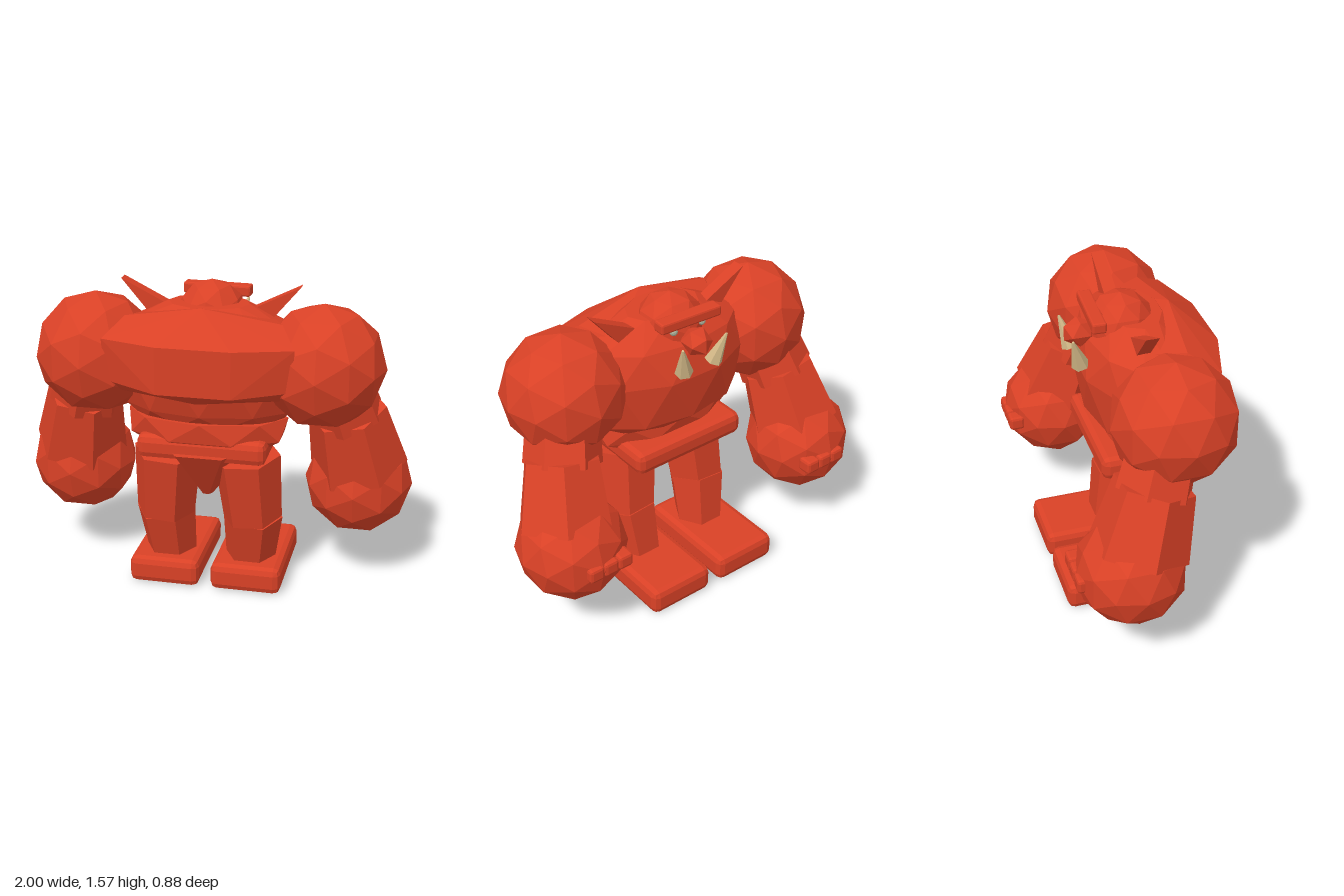
import * as THREE from 'three';
import { RoundedBoxGeometry } from 'three/addons/geometries/RoundedBoxGeometry.js';
import { ConvexGeometry } from 'three/addons/geometries/ConvexGeometry.js';

const V = (x, y, z) => new THREE.Vector3(x, y, z);

export function createModel() {
  const model = new THREE.Group();
  const mat = (name, color) => {
    const m = new THREE.MeshStandardMaterial({ color, flatShading: true });
    m.name = name;
    return m;
  };
  const red = mat('red hide', 0xd94126);
  const ivory = mat('ivory', 0xd2b887);
  const eyeGrey = mat('eye grey', 0xabaf98);

  const add = (name, geometry, material = red, pos = null) => {
    const mesh = new THREE.Mesh(geometry, material);
    mesh.name = name;
    if (pos) mesh.position.copy(pos);
    model.add(mesh);
    return mesh;
  };
  const ball = (name, r, pos, detail = 1, material = red) =>
    add(name, new THREE.IcosahedronGeometry(r, detail), material, pos);
  const block = (name, w, h, d, bevel, pos) =>
    add(name, new RoundedBoxGeometry(w, h, d, 1, bevel), red, pos);

  // Tapered prism running from point a (radius ra) to point b (radius rb)
  const limb = (name, a, b, ra, rb, sides = 6, material = red, spin = 0) => {
    const dir = a.clone().sub(b);
    const g = new THREE.CylinderGeometry(ra, rb, dir.length(), sides);
    g.rotateY(spin);
    const mesh = add(name, g, material, a.clone().add(b).multiplyScalar(0.5));
    mesh.quaternion.setFromUnitVectors(V(0, 1, 0), dir.normalize());
    return mesh;
  };

  // Convex body from elliptical rings: [y, half width, min z, max z]
  const ringBody = (name, rings, sides) => {
    const pts = [];
    rings.forEach(([y, rx, z0, z1], k) => {
      for (let i = 0; i < sides; i++) {
        const t = ((i + (k % 2) / 2) / sides) * Math.PI * 2;
        pts.push(V(rx * Math.cos(t), y, (z0 + z1) / 2 + ((z1 - z0) / 2) * Math.sin(t)));
      }
    });
    return add(name, new ConvexGeometry(pts));
  };

  // Torso
  ringBody('chest', [
    [0.89, 0.36, -0.1, 0.25], [0.96, 0.43, -0.18, 0.3], [1.2, 0.47, -0.22, 0.37],
    [1.36, 0.43, -0.17, 0.3], [1.47, 0.2, -0.07, 0.2],
  ], 10);
  ringBody('waist', [
    [0.74, 0.28, -0.06, 0.23], [0.82, 0.4, -0.1, 0.3], [0.92, 0.4, -0.11, 0.3],
  ], 8);

  // Heavy hump across the shoulders
  const hump = [V(0, 1.485, 0.245), V(0, 1.05, 0.36)];
  for (const s of [-1, 1]) {
    hump.push(
      V(s * 0.46, 1.34, 0.35), V(s * 0.45, 1.13, 0.33), V(s * 0.18, 1.11, 0.435),
      V(s * 0.18, 1.34, 0.435), V(s * 0.38, 1.42, 0.21), V(s * 0.4, 1.07, 0.28),
      V(s * 0.42, 1.2, 0.05), V(s * 0.3, 1.4, 0.02));
  }
  add('backHump', new ConvexGeometry(hump));

  // Belt and pelvis
  block('belt', 0.64, 0.12, 0.46, 0.035, V(0, 0.78, 0.055));
  limb('pelvis', V(0, 0.76, 0.12), V(0, 0.5, 0.12), 0.23, 0.03, 6, red, Math.PI / 6);

  // Head
  ball('head', 0.168, V(0, 1.4, 0.005));
  ball('snout', 0.085, V(0, 1.39, -0.2), 0).scale.set(0.85, 0.85, 1);
  const brow = block('brow', 0.34, 0.055, 0.07, 0.01, V(0, 1.486, -0.135));
  brow.rotation.y = -0.05;

  for (const s of [-1, 1]) {
    const side = s > 0 ? 'left' : 'right';
    const P = (x, y, z) => V(s * x, y, z);

    // Face details
    ball(side + 'Eye', 0.02, P(0.083, 1.438, -0.133), 1, eyeGrey);
    limb(side + 'Tusk', P(0.13, 1.415, -0.262), P(0.088, 1.262, -0.218), 0.006, 0.045, 6, ivory);

    // Flat pointed ears
    const ear = new THREE.Shape([[0.44, 1.56], [0.16, 1.42], [0.28, 1.37]]
      .map(([x, y]) => new THREE.Vector2(s * x, y)));
    add(side + 'Ear', new THREE.ExtrudeGeometry(ear, { depth: 0.065, bevelEnabled: false }),
      red, V(0, 0, -0.01));

    // Arms
    ball(side + 'Shoulder', 0.305, P(0.56, 1.195, 0.09));
    limb(side + 'UpperArm', P(0.6, 1.15, 0.04), P(0.67, 0.9, -0.04), 0.17, 0.19);
    limb(side + 'Forearm', P(0.67, 0.935, -0.035), P(0.73, 0.62, -0.13), 0.195, 0.245, 6, red, Math.PI / 6);
    ball(side + 'Fist', 0.272, P(0.727, 0.52, -0.165));
    for (let i = 0; i < 3; i++) {
      block(side + 'Knuckle' + (i + 1), 0.08, 0.075, 0.08, 0.015, P(0.6 + i * 0.082, 0.522, -0.402));
    }

    // Legs and feet
    limb(side + 'Thigh', P(0.2, 0.72, 0.12), P(0.225, 0.375, 0.075), 0.17, 0.15, 6, red, Math.PI / 6);
    limb(side + 'Shin', P(0.225, 0.385, 0.07), P(0.205, 0.1, 0.015), 0.152, 0.125, 6, red, Math.PI / 6);
    block(side + 'Foot', 0.36, 0.14, 0.595, 0.035, P(0.21, 0.07, -0.083));
  }
  return model;
}
